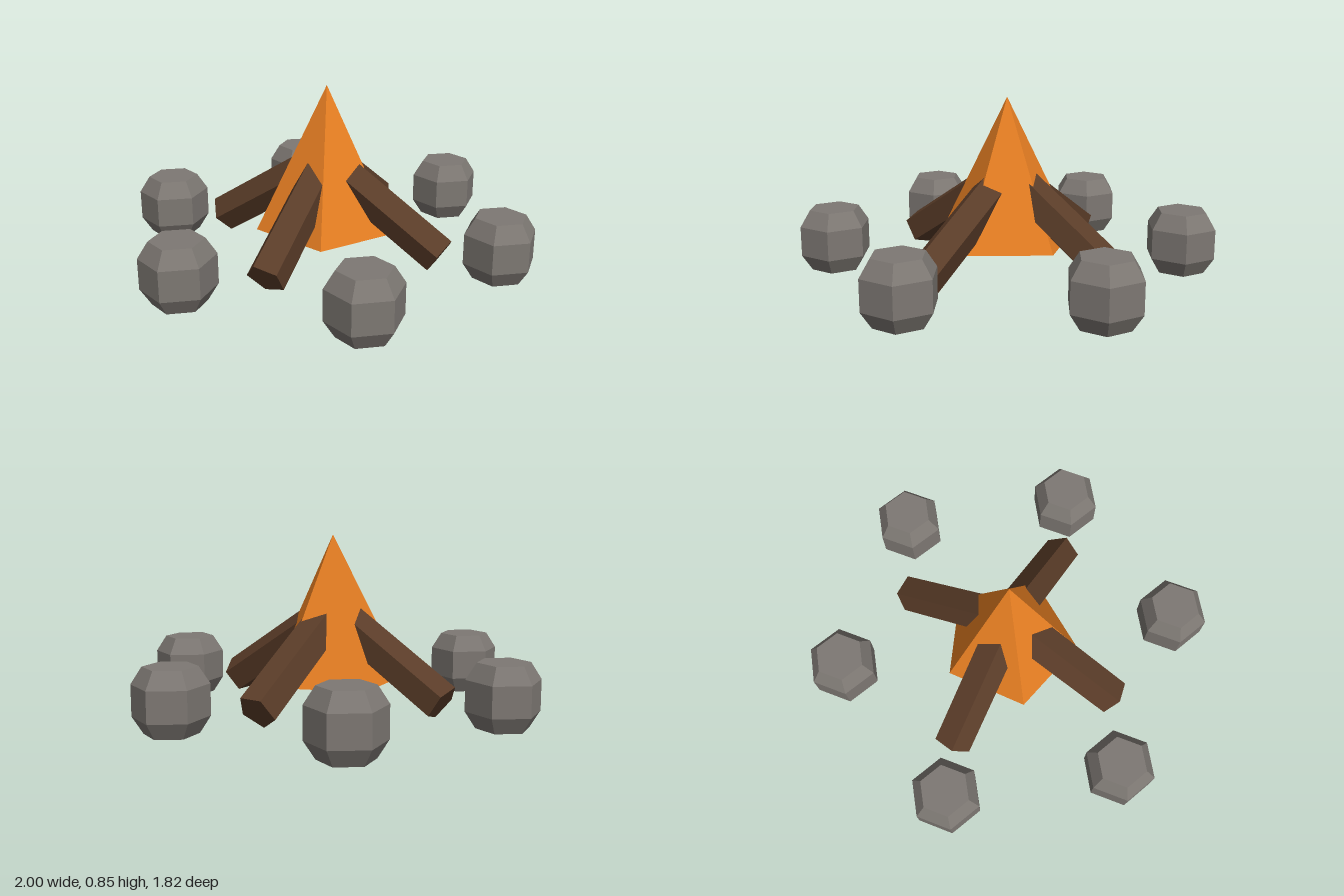
import * as THREE from 'three';

const makeMaterial = (name, color) => {
  const m = new THREE.MeshStandardMaterial({ color });
  m.name = name;
  return m;
};

// Faceted copy of a geometry: one normal per face
const faceted = (geometry) => {
  const g = geometry.index ? geometry.toNonIndexed() : geometry;
  g.computeVertexNormals();
  return g;
};

export function createModel() {
  const model = new THREE.Group();
  model.name = 'campfire';
  const stone = makeMaterial('stone grey', 0x7d7873);
  const wood = makeMaterial('bark brown', 0x5a3c28);
  const fire = makeMaterial('flame orange', 0xe67e22);
  const deg = THREE.MathUtils.degToRad;

  const add = (parent, name, geometry, material) => {
    const mesh = new THREE.Mesh(geometry, material);
    mesh.name = name;
    parent.add(mesh);
    return mesh;
  };

  // Flame: five-sided cone
  const flame = add(model, 'flame', faceted(new THREE.ConeGeometry(0.35, 0.7, 5)), fire);
  flame.position.y = 0.5;
  flame.rotation.y = -Math.PI / 4;

  // Ring of six barrel-shaped hexagonal stones
  const profile = [[0, 0], [0.123, 0], [0.173, 0.078], [0.173, 0.222], [0.123, 0.3], [0, 0.3]]
    .map(([r, y]) => new THREE.Vector2(r, y));
  const stoneGeometry = faceted(new THREE.LatheGeometry(profile, 6));
  for (let i = 0; i < 6; i++) {
    const a = (i * Math.PI) / 3;
    add(model, `stone${i + 1}`, stoneGeometry, stone)
      .position.set(0.85 * Math.cos(a), 0, 0.85 * Math.sin(a));
  }

  // Four five-sided logs leaning on the flame, each rolled differently about its axis
  [36, -18, 18, 0].forEach((roll, i) => {
    const arm = new THREE.Group();
    arm.name = `logArm${i + 1}`;
    arm.rotation.y = deg(22.5 + 90 * i);
    const geometry = new THREE.CylinderGeometry(0.095, 0.095, 0.6, 5, 1, false, deg(90 - roll));
    const log = add(arm, `log${i + 1}`, faceted(geometry), wood);
    log.position.set(0.344, 0.262, 0);
    log.rotation.z = 1;
    model.add(arm);
  });

  return model;
}
